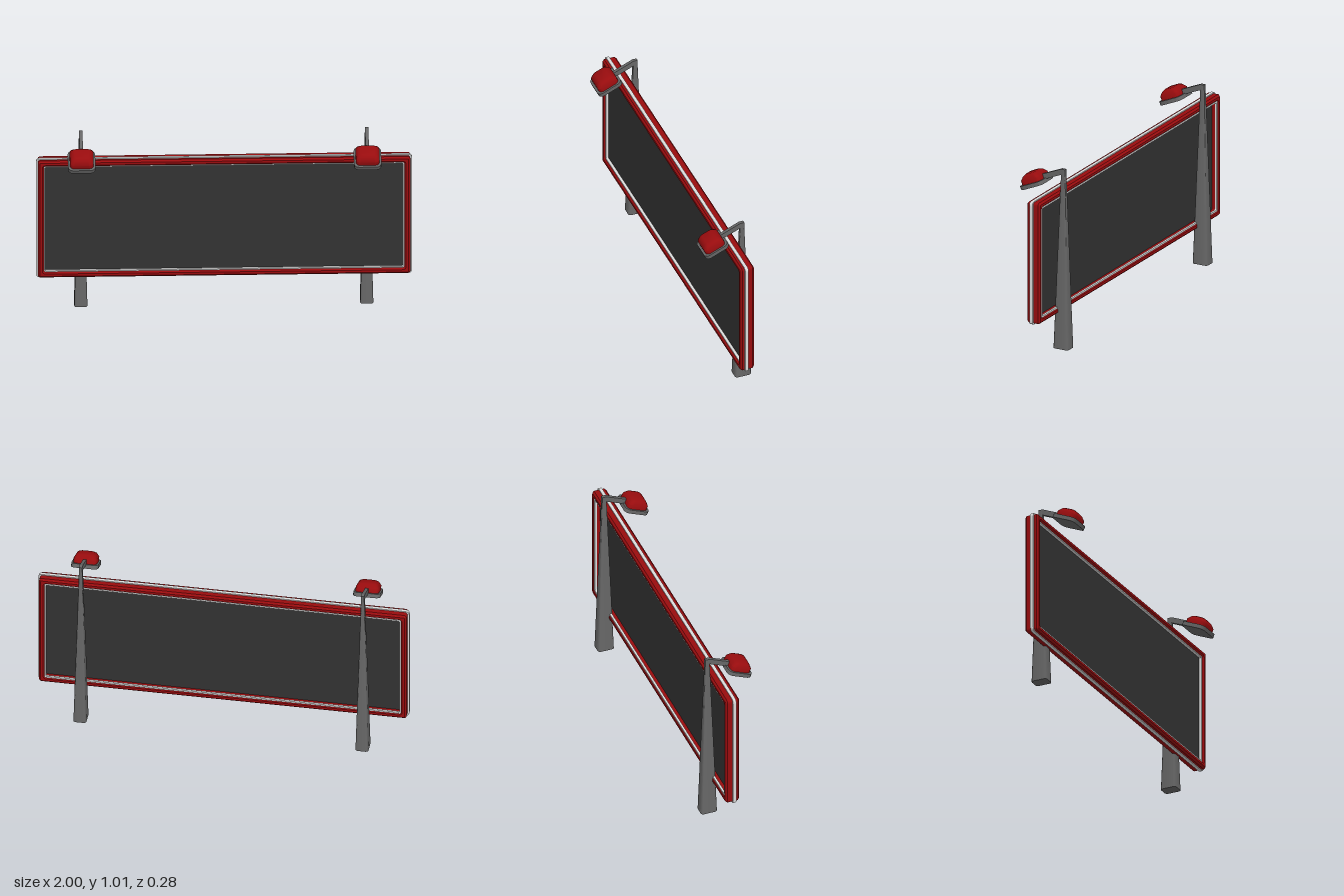
import * as THREE from 'three';
import { toCreasedNormals } from 'three/addons/utils/BufferGeometryUtils.js';

const paint = (name, color) => {
  const m = new THREE.MeshStandardMaterial({ color });
  m.name = name;
  return m;
};

// Rounded rectangle outline, centred on (0, cy)
function roundRect(Target, w, h, r, cy = 0) {
  const s = new Target();
  const x = w / 2, b = cy - h / 2, t = cy + h / 2;
  s.moveTo(-x + r, b);
  s.lineTo(x - r, b);
  s.quadraticCurveTo(x, b, x, b + r);
  s.lineTo(x, t - r);
  s.quadraticCurveTo(x, t, x - r, t);
  s.lineTo(-x + r, t);
  s.quadraticCurveTo(-x, t, -x, t - r);
  s.lineTo(-x, b + r);
  s.quadraticCurveTo(-x, b, -x + r, b);
  return s;
}

// Rectangular ring between z0 and z1; outer and inner are [w, h, cornerRadius, centreY]
function ring(outer, inner, z0, z1, bevel) {
  const shape = roundRect(THREE.Shape, ...outer);
  shape.holes.push(roundRect(THREE.Path, ...inner));
  const g = new THREE.ExtrudeGeometry(shape, {
    depth: z1 - z0 - 2 * bevel, curveSegments: 4, bevelEnabled: bevel > 0,
    bevelThickness: bevel, bevelSize: bevel, bevelOffset: -bevel, bevelSegments: 1,
  });
  return g.translate(0, 0, z0 + bevel);
}

// Stack of rounded rectangles, each level [y, width, depth, radius, centreZ]
function loft(levels, crease = 0.6) {
  const n = 16, pos = [], idx = [];
  for (const [y, w, d, r, cz = 0] of levels) {
    for (let i = 0; i < n; i++) {
      const q = Math.floor(i / 4), a = q * Math.PI / 2 + (i % 4) * Math.PI / 6;
      const sx = q === 0 || q === 3 ? 1 : -1, sz = q < 2 ? 1 : -1;
      pos.push(sx * (w / 2 - r) + r * Math.cos(a), y, cz + sz * (d / 2 - r) + r * Math.sin(a));
    }
  }
  const top = (levels.length - 1) * n;
  for (let k = 0; k < top; k += n) {
    for (let i = 0; i < n; i++) {
      const a = k + i, b = k + (i + 1) % n;
      idx.push(a, a + n, b, b, a + n, b + n);
    }
  }
  for (let i = 1; i < n - 1; i++) {
    idx.push(0, i, i + 1, top, top + i + 1, top + i);
  }
  const g = new THREE.BufferGeometry();
  g.setAttribute('position', new THREE.Float32BufferAttribute(pos, 3));
  g.setIndex(idx);
  return toCreasedNormals(g, crease);
}

export function createModel() {
  const red = paint('red', 0x990c0e);
  const grey = paint('grey', 0x666666);
  const dark = paint('charcoal', 0x323232);
  const white = paint('white', 0xdcdcdc);

  const model = new THREE.Group();
  model.name = 'billboard';
  const add = (parent, name, geometry, material) => {
    const m = new THREE.Mesh(geometry, material);
    m.name = name;
    parent.add(m);
    return m;
  };

  // Board: chamfered frame, trim around its edge, recessed panel and inner trims
  const cy = 0.537;
  const opening = [1.914, 0.616, 0.008, cy];
  const lip = [1.904, 0.606, 0.006, cy];
  add(model, 'frame', ring([1.98, 0.683, 0.016, cy], opening, -0.073, 0.006, 0.01), red);
  add(model, 'edgeTrim', ring([2, 0.694, 0.022, cy], [1.93, 0.63, 0.008, cy], -0.035, -0.017, 0), white);
  add(model, 'frontInnerTrim', ring([1.922, 0.624, 0.008, cy], lip, -0.02, -0.003, 0), white);
  add(model, 'backInnerTrim', ring([1.922, 0.624, 0.008, cy], lip, -0.069, -0.057, 0), white);
  add(model, 'panel', new THREE.BoxGeometry(1.92, 0.622, 0.02).translate(0, cy, -0.028), dark);

  for (const side of [-1, 1]) {
    const support = new THREE.Group();
    support.name = side > 0 ? 'leftSupport' : 'rightSupport';
    support.position.x = side * 0.76;
    model.add(support);

    // Tapered post
    add(support, 'post', loft([
      [0, 0.07, 0.092, 0.014, -0.09],
      [1.0, 0.018, 0.024, 0.004, -0.092],
    ]), grey);

    // Arm reaching forward over the board, as a bent side profile
    const arm = new THREE.Shape([
      [-0.104, 0.97], [-0.104, 1.008], [-0.08, 1.008],
      [0.035, 0.96], [0.025, 0.932], [-0.08, 0.976],
    ].map(([z, y]) => new THREE.Vector2(-z, y)));
    add(support, 'arm', new THREE.ExtrudeGeometry(arm, { depth: 0.018, bevelEnabled: false })
      .translate(0, 0, -0.009).rotateY(Math.PI / 2), grey);

    // Tilted lamp
    const lamp = new THREE.Group();
    lamp.name = 'lamp';
    lamp.position.set(0, 0.895, 0.069);
    lamp.rotation.x = 0.4;
    support.add(lamp);
    add(lamp, 'lampBase', loft([
      [0, 0.146, 0.143, 0.026], [0.022, 0.146, 0.143, 0.026],
    ]), grey);
    add(lamp, 'lampHousing', loft([
      [0.018, 0.126, 0.118, 0.022], [0.046, 0.126, 0.118, 0.022],
      [0.066, 0.104, 0.086, 0.02], [0.073, 0.076, 0.06, 0.016],
    ], 0.75), red);
  }
  return model;
}
